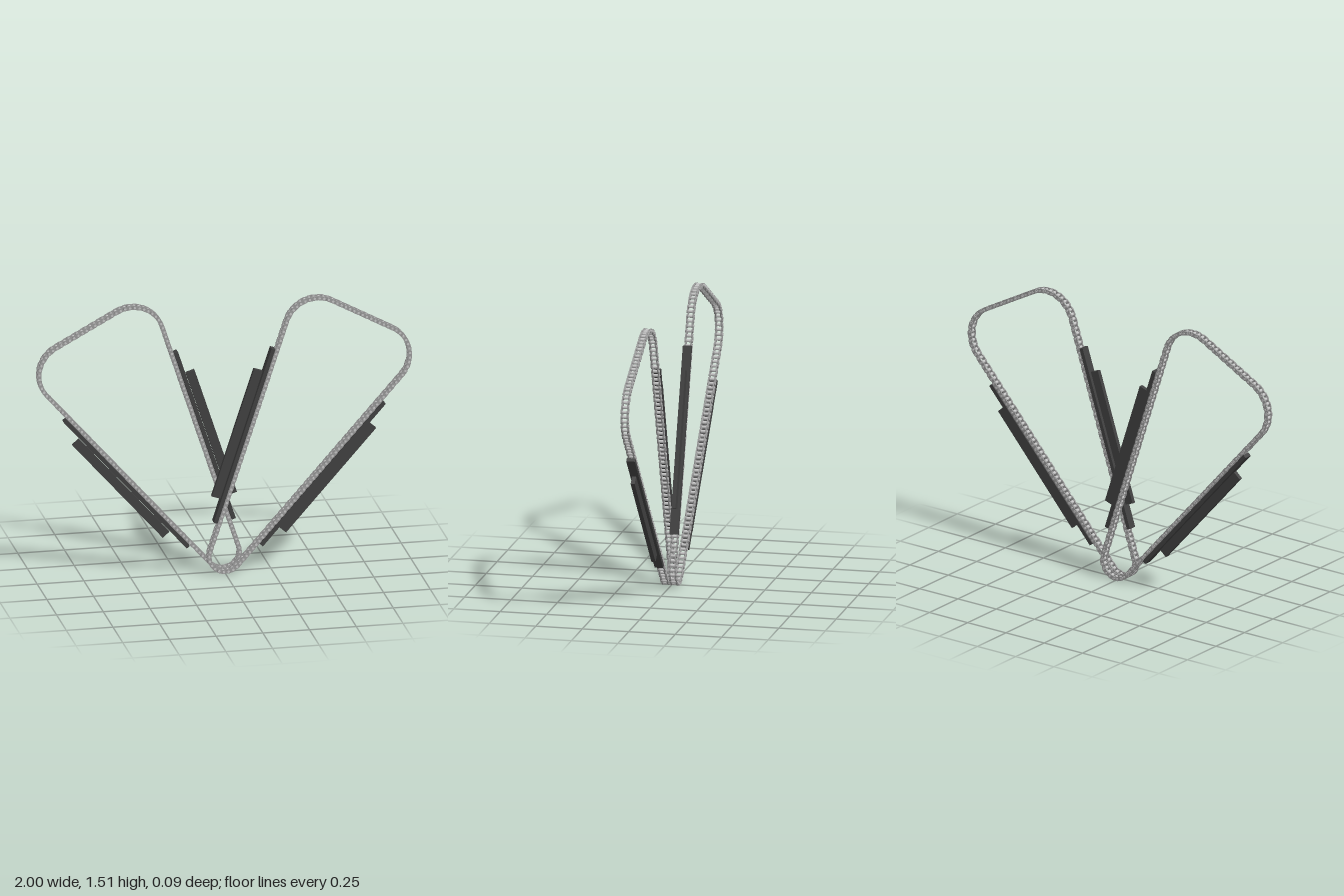
import * as THREE from 'three';
import { mergeGeometries } from 'three/addons/utils/BufferGeometryUtils.js';

const plateGrey = new THREE.MeshStandardMaterial({ color: 0x9a9a9a });
plateGrey.name = 'plateGrey';
const pinGrey = new THREE.MeshStandardMaterial({ color: 0xc4c4c4 });
pinGrey.name = 'pinGrey';
const railDark = new THREE.MeshStandardMaterial({ color: 0x404040 });
railDark.name = 'railDark';

// Wheels the chain runs around, counter-clockwise: x, y, radius
const wheels = [[0, 0.1, 0.087], [0.817, 1.15, 0.17], [0.49, 1.327, 0.17]];
const LINKS = 150;

// Angle of the outward normal of the straight run between two wheels
function runAngle(i, j) {
  const [ax, ay, ar] = wheels[i], [bx, by, br] = wheels[j];
  const dx = bx - ax, dy = by - ay;
  return Math.atan2(dy, dx) - Math.acos((ar - br) / Math.hypot(dx, dy));
}

// Closed centre line of the chain
function chainPath() {
  const path = new THREE.Path();
  wheels.forEach(([x, y, r], i) => {
    path.absarc(x, y, r, runAngle((i + 2) % 3, i), runAngle(i, (i + 1) % 3), false);
  });
  path.closePath();
  return path;
}

// Link plate with round ends, lying along x
function plateGeometry(length, radius, thickness) {
  const shape = new THREE.Shape();
  shape.absarc(length / 2, 0, radius, -Math.PI / 2, Math.PI / 2, false);
  shape.absarc(-length / 2, 0, radius, Math.PI / 2, Math.PI * 1.5, false);
  return new THREE.ExtrudeGeometry(shape, { depth: thickness, bevelEnabled: false, curveSegments: 5 })
    .translate(0, 0, -thickness / 2);
}

function mesh(name, geometry, material) {
  const m = new THREE.Mesh(geometry, material);
  m.name = name;
  return m;
}

// Roller chain: alternating wide and narrow link pairs, pins and rollers
function createChain() {
  const points = chainPath().getSpacedPoints(LINKS);
  const pitch = points[0].distanceTo(points[1]);
  const plate = plateGeometry(pitch, 0.011, 0.005);
  const pin = new THREE.CylinderGeometry(0.0065, 0.0065, 0.045, 10).rotateX(Math.PI / 2);
  const roller = new THREE.CylinderGeometry(0.0085, 0.0085, 0.022, 10).rotateX(Math.PI / 2);
  const plates = [], pins = [];
  for (let i = 0; i < LINKS; i++) {
    const a = points[i], b = points[(i + 1) % LINKS];
    const angle = Math.atan2(b.y - a.y, b.x - a.x);
    const offset = i % 2 ? 0.0185 : 0.0135;
    for (const side of [-1, 1]) {
      plates.push(plate.clone().rotateZ(angle)
        .translate((a.x + b.x) / 2, (a.y + b.y) / 2, side * offset));
    }
    pins.push(pin.clone().translate(a.x, a.y, 0), roller.clone().translate(a.x, a.y, 0));
  }
  const chain = new THREE.Group();
  chain.name = 'chain';
  chain.add(mesh('linkPlates', mergeGeometries(plates), plateGrey));
  chain.add(mesh('pinsAndRollers', mergeGeometries(pins), pinGrey));
  return chain;
}

// Guide rail and tensioner block outside one straight run leaving the bottom wheel
function createGuide(name, normalAngle, sign) {
  const [x, y, r] = wheels[0];
  const guide = new THREE.Group();
  guide.name = name;
  // local x runs up along the chain, local y points outward (sign gives the side)
  guide.position.set(x + r * Math.cos(normalAngle), y + r * Math.sin(normalAngle), 0);
  guide.rotation.z = normalAngle - sign * Math.PI / 2;
  const bar = (part, from, to, inner, outer, width) => {
    const m = mesh(part, new THREE.BoxGeometry(to - from, outer - inner, width), railDark);
    m.position.set((from + to) / 2, sign * (inner + outer) / 2, 0);
    guide.add(m);
  };
  bar('guideRail', 0.163, 1.156, 0.013, 0.034, 0.046);
  bar('tensionerBlock', 0.295, 1.023, 0.038, 0.086, 0.022);
  return guide;
}

function createLoop(name) {
  const loop = new THREE.Group();
  loop.name = name;
  loop.add(createChain());
  loop.add(createGuide('outerGuide', runAngle(0, 1), -1));
  loop.add(createGuide('innerGuide', runAngle(2, 0), 1));
  return loop;
}

export function createModel() {
  const model = new THREE.Group();
  model.name = 'twinTimingChains';
  const left = createLoop('leftChainLoop');
  left.position.z = 0.024;
  // The second loop is the first turned half round, behind it
  const right = createLoop('rightChainLoop');
  right.rotation.y = Math.PI;
  right.position.z = -0.024;
  model.add(left, right);
  return model;
}
